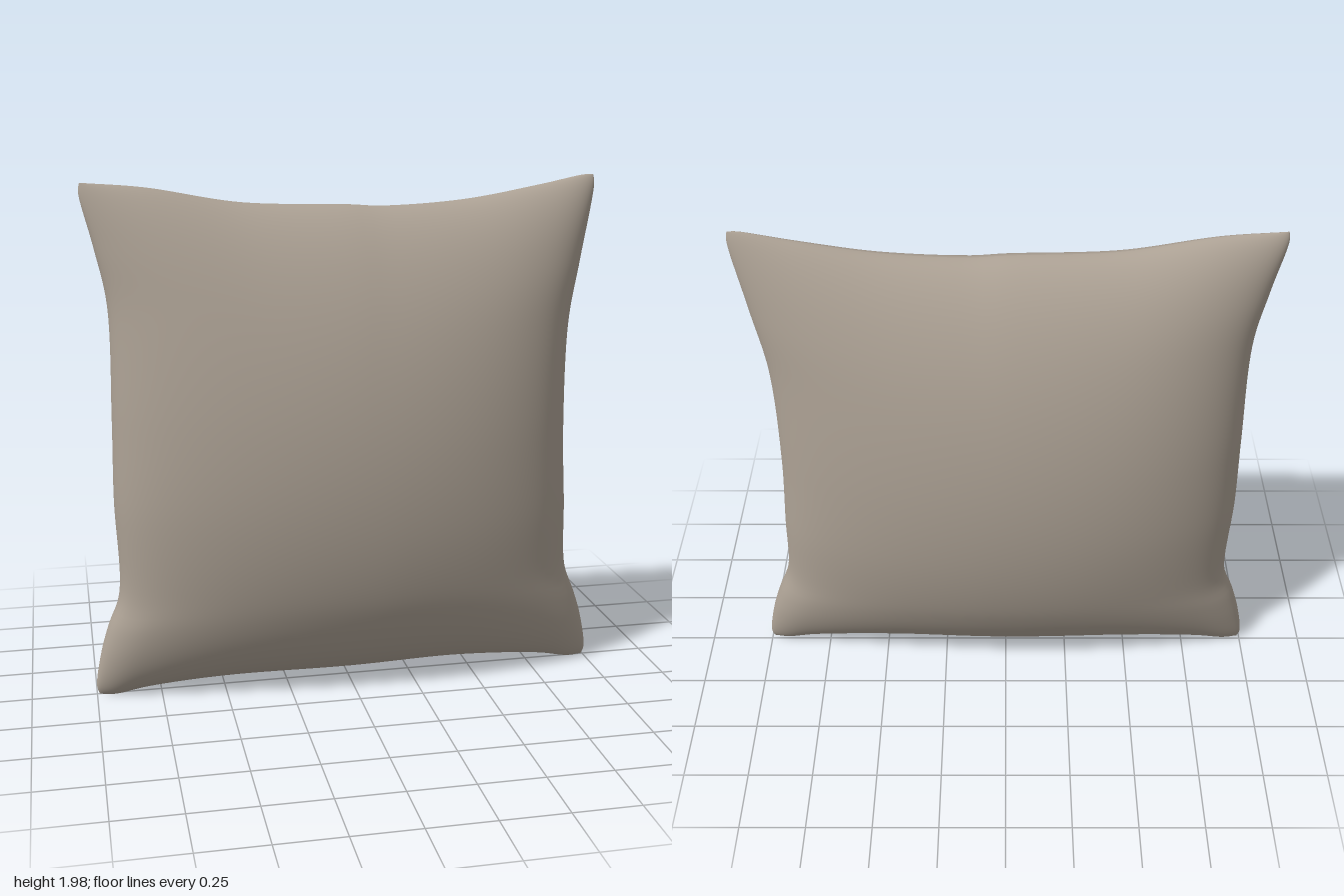
import * as THREE from 'three';

const curve = (pts) => new THREE.CatmullRomCurve3(pts.map(([x, y]) => new THREE.Vector3(x, y, 0)));

// Seam outline: four concave edges that share stretched corners
const TL = [-0.98, 1.98], TR = [0.965, 1.98], BL = [-0.99, 0.008], BR = [0.99, 0.01];
const top = curve([TL, [-0.75, 1.96], [-0.4, 1.9], [0, 1.885], [0.13, 1.877], [0.45, 1.895], [0.75, 1.945], [0.93, 1.98], TR]);
const bottom = curve([BL, [-0.93, 0.003], [-0.8, 0.025], [-0.5, 0.047], [0, 0.047], [0.45, 0.055], [0.8, 0.03], [0.93, 0.006], BR]);
const left = curve([BL, [-1, 0.04], [-0.98, 0.17], [-0.945, 0.29], [-0.9, 0.41], [-0.905, 0.8], [-0.9, 1.1], [-0.9, 1.54], [-0.94, 1.75], [-0.985, 1.95], TL]);
const right = curve([BR, [1, 0.04], [0.975, 0.19], [0.94, 0.3], [0.895, 0.42], [0.88, 0.7], [0.866, 1], [0.875, 1.42], [0.92, 1.67], [0.97, 1.95], TR]);

// One fabric panel: blend the four edges into a sheet, then inflate it
function panelGeometry(side, n = 72) {
  const ts = Array.from({ length: n + 1 }, (_, i) => (1 - Math.cos((Math.PI * i) / n)) / 2);
  const [T, B, L, R] = [top, bottom, left, right].map((c) => ts.map((t) => c.getPointAt(t)));
  const mix = THREE.MathUtils.lerp;
  const pos = [], index = [];
  for (let j = 0; j <= n; j++) {
    for (let i = 0; i <= n; i++) {
      const s = ts[i], t = ts[j];
      const coons = (k, a) => mix(B[i][a], T[i][a], t) + mix(L[j][a], R[j][a], s)
        - mix(mix(BL[k], BR[k], s), mix(TL[k], TR[k], s), t);
      const u = 2 * s - 1, v = 2 * t - 1;
      const puff = 0.347 * Math.max(0, 1 - u * u) ** 0.45 * Math.max(0, 1 - v * v) ** 0.6 * (1 - 0.06 * v);
      pos.push(coons(0, 'x'), coons(1, 'y'), side * puff - 0.012 * v);
      if (i < n && j < n) {
        const a = j * (n + 1) + i, b = a + 1, c = a + n + 1, d = c + 1;
        if (side > 0) index.push(a, b, d, a, d, c);
        else index.push(a, d, b, a, c, d);
      }
    }
  }
  const geo = new THREE.BufferGeometry();
  geo.setAttribute('position', new THREE.Float32BufferAttribute(pos, 3));
  geo.setIndex(index);
  geo.computeVertexNormals();
  return geo;
}

export function createModel() {
  const group = new THREE.Group();
  group.name = 'cushion';
  const fabric = new THREE.MeshStandardMaterial({ color: 0xaca194 });
  fabric.name = 'taupe fabric';
  for (const [name, side] of [['frontPanel', 1], ['backPanel', -1]]) {
    const mesh = new THREE.Mesh(panelGeometry(side), fabric);
    mesh.name = name;
    group.add(mesh);
  }
  return group;
}
